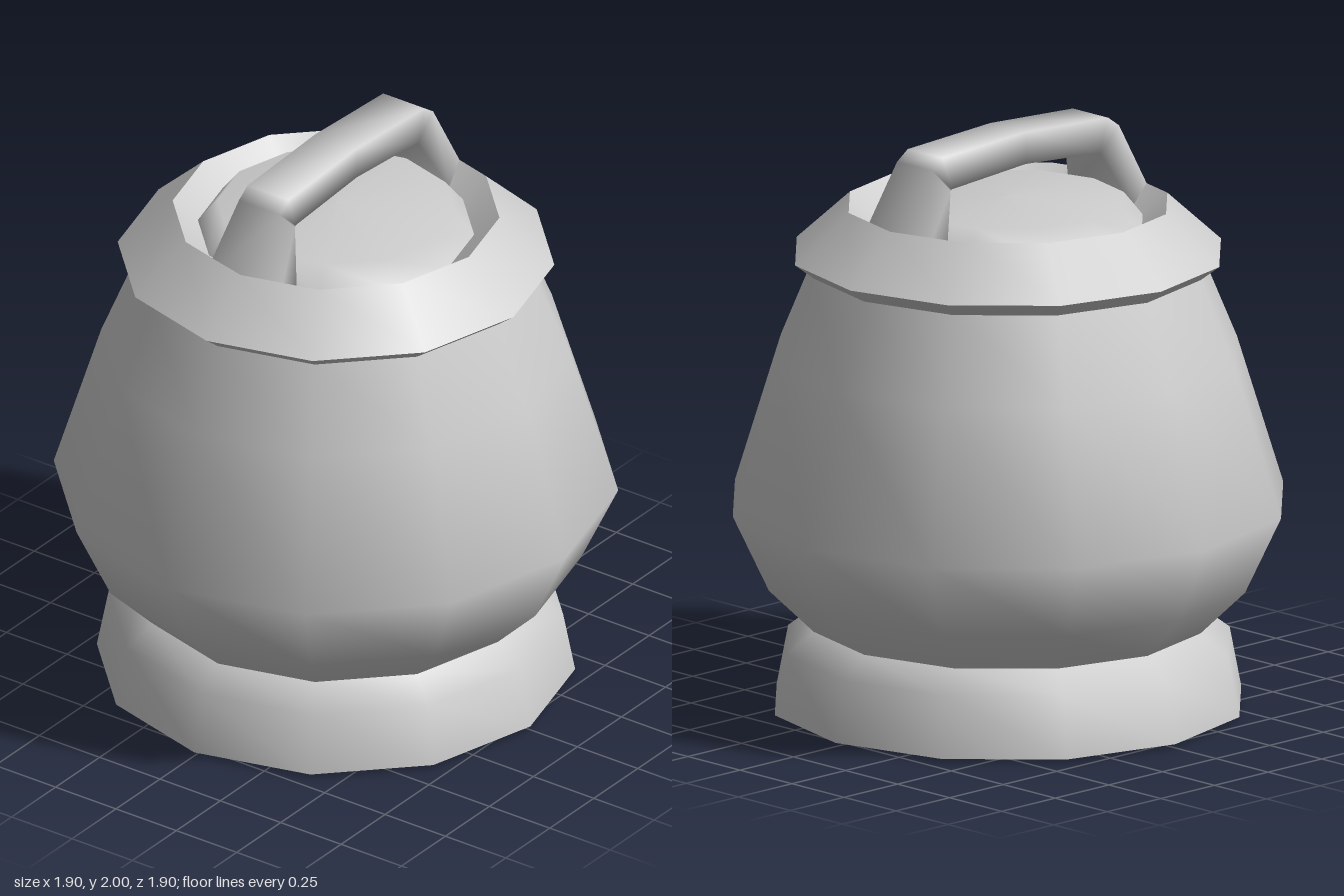
import * as THREE from 'three';

const material = new THREE.MeshStandardMaterial({ color: 0xcccccc });
const SIDES = 12;

// One smooth band turned round the y axis; profile runs from bottom to top on the outside
function turned(name, profile) {
  const points = profile.map(([r, y]) => new THREE.Vector2(r, y));
  const mesh = new THREE.Mesh(new THREE.LatheGeometry(points, SIDES), material);
  mesh.name = name;
  return mesh;
}

function part(name, ...meshes) {
  const group = new THREE.Group();
  group.name = name;
  group.add(...meshes);
  return group;
}

// Four-sided bar lofted through sections: outer point, inner point, half depth
function createHandle() {
  const half = [
    [-0.54, 1.67, -0.435, 1.67, 0.155],
    [-0.435, 1.945, -0.35, 1.86, 0.085],
    [-0.385, 1.98, -0.345, 1.865, 0.085],
  ];
  const mirrored = half.map(([ox, oy, ix, iy, d]) => [-ox, oy, -ix, iy, d]).reverse();
  const sections = [...half, [0, 2, 0, 1.89, 0.085], ...mirrored];

  const positions = [];
  for (const [ox, oy, ix, iy, d] of sections) {
    positions.push(ox, oy, d, ox, oy, -d, ix, iy, -d, ix, iy, d);
  }
  const index = [];
  for (let s = 0; s < sections.length - 1; s++) {
    for (let k = 0; k < 4; k++) {
      const a = s * 4 + k;
      const b = s * 4 + ((k + 1) % 4);
      index.push(a, a + 4, b, b, a + 4, b + 4);
    }
  }
  const geometry = new THREE.BufferGeometry();
  geometry.setAttribute('position', new THREE.Float32BufferAttribute(positions, 3));
  geometry.setIndex(index);
  geometry.computeVertexNormals();
  const mesh = new THREE.Mesh(geometry, material);
  mesh.name = 'handle';
  return mesh;
}

export function createModel() {
  const model = new THREE.Group();
  model.name = 'lidded pot';

  // Foot ring with a very shallow underside
  model.add(part('base',
    turned('baseUnderside', [[0, 0.005], [0.805, 0.018]]),
    turned('baseWall', [[0.805, 0.018], [0.765, 0.225], [0.67, 0.298]]),
  ));

  // Bellied pot
  model.add(turned('body', [[0.67, 0.298], [0.825, 0.45], [0.95, 0.715], [0.79, 1.23], [0.67, 1.52]]));

  // Lid: sharp rim, sunken groove and low dome
  model.add(part('lid',
    turned('lidUnderside', [[0.67, 1.52], [0.735, 1.57]]),
    turned('lidSlope', [[0.735, 1.57], [0.55, 1.74]]),
    turned('lidGroove', [[0.55, 1.74], [0.465, 1.67]]),
    turned('lidDome', [[0.465, 1.67], [0.4, 1.752], [0, 1.768]]),
  ));

  model.add(createHandle());
  return model;
}
